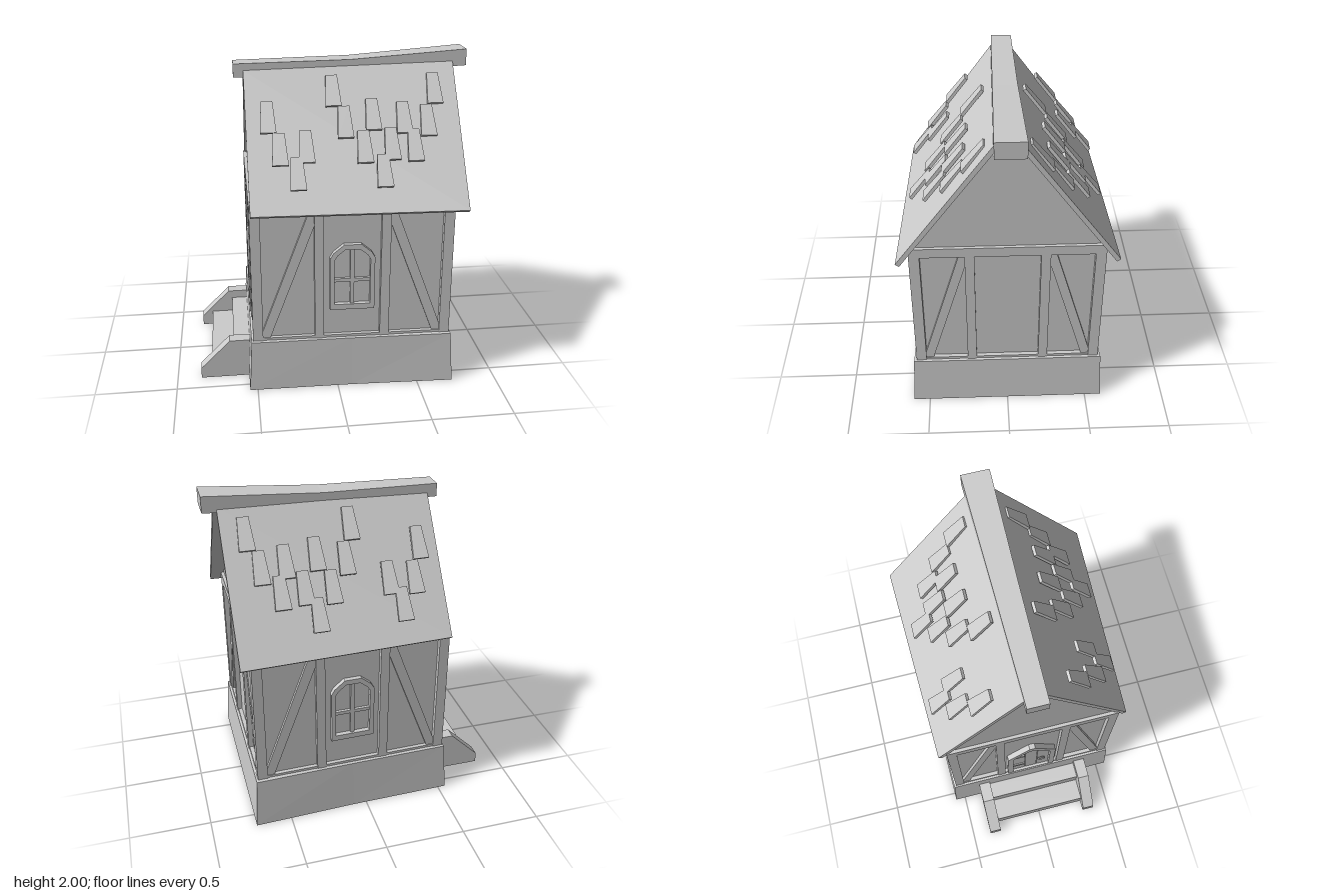
import * as THREE from 'three';

const mat = new THREE.MeshStandardMaterial({ color: 0xcccccc, flatShading: true });
const openMat = new THREE.MeshStandardMaterial({ color: 0xcccccc, flatShading: true, side: THREE.DoubleSide });
const CX = 0.088; // centre of the house along x

function add(parent, name, geo, x = 0, y = 0, z = 0, material = mat) {
  const m = new THREE.Mesh(geo, material);
  m.name = name;
  m.position.set(x, y, z);
  parent.add(m);
  return m;
}

// Box given by its ranges
function box(parent, name, x0, x1, y0, y1, z0, z1) {
  return add(parent, name, new THREE.BoxGeometry(x1 - x0, y1 - y0, z1 - z0),
    (x0 + x1) / 2, (y0 + y1) / 2, (z0 + z1) / 2);
}

const shapeOf = pts => new THREE.Shape(pts.map(p => new THREE.Vector2(...p)));
const extrude = (shape, depth) =>
  new THREE.ExtrudeGeometry(shape, { depth, bevelEnabled: false });

// Skin over cross-sections with equal corner counts
function loft(sections, capped = true) {
  const pos = [], n = sections[0].length;
  const tri = (...p) => p.forEach(v => pos.push(...v));
  for (let i = 0; i + 1 < sections.length; i++) {
    for (let j = 0; j < n; j++) {
      const k = (j + 1) % n, s = sections[i], t = sections[i + 1];
      tri(s[j], s[k], t[k]);
      tri(s[j], t[k], t[j]);
    }
  }
  if (capped) {
    const s = sections[0], t = sections[sections.length - 1];
    for (let j = 1; j + 1 < n; j++) {
      tri(s[0], s[j + 1], s[j]);
      tri(t[0], t[j], t[j + 1]);
    }
  }
  const g = new THREE.BufferGeometry();
  g.setAttribute('position', new THREE.Float32BufferAttribute(pos, 3));
  g.computeVertexNormals();
  return g;
}

// Opening outline with a chamfered top
function archPoints(w, y0, yShoulder, yTop, wTop) {
  const wm = w * 0.85, ym = yShoulder + (yTop - yShoulder) * 0.4;
  return [[-w, y0], [w, y0], [w, yShoulder], [wm, ym], [wTop, yTop],
    [-wTop, yTop], [-wm, ym], [-w, yShoulder]];
}

// Opening outline with a pointed top
const gablePoints = (w, y0, yShoulder, yTop) =>
  [[-w, y0], [w, y0], [w, yShoulder], [0.02, yTop], [-0.02, yTop], [-w, yShoulder]];

function openingFrame(outer, inner, depth) {
  const s = shapeOf(outer);
  s.holes.push(new THREE.Path(inner.map(p => new THREE.Vector2(...p))));
  return extrude(s, depth);
}

// One timber-framed wall facing local +z
function timberWall(name, half, dist, post, topY) {
  const g = new THREE.Group();
  g.name = name;
  const back = dist - 0.07;
  add(g, 'plaster', new THREE.PlaneGeometry(2 * half - 0.06, 0.9), 0, 0.77, dist - 0.03, openMat);
  box(g, 'sill', -half + 0.01, half - 0.01, 0.32, 0.345, back, dist - 0.005);
  box(g, 'topBeam', -half, half, 1.15, topY, back, dist);
  const o = half - 0.062, i = post + 0.028;
  for (const s of [-1, 1]) {
    const [a, b] = [s * o, s * half].sort((p, q) => p - q);
    box(g, 'cornerPost', a, b, 0.33, 1.15, dist - 0.062, dist);
    box(g, 'post', s * post - 0.028, s * post + 0.028, 0.33, 1.15, back, dist);
    const brace = [[o, 0.345], [o, 0.39], [i + 0.035, 1.15], [i, 1.15], [i, 1.07], [o - 0.045, 0.345]];
    add(g, 'brace', extrude(shapeOf(brace.map(([x, y]) => [s * x, y])), 0.05), 0, 0, dist - 0.06);
  }
  return g;
}

function addWindow(g, d) {
  const frame = openingFrame(archPoints(0.135, 0.52, 0.86, 0.947, 0.052),
    archPoints(0.108, 0.555, 0.85, 0.915, 0.045), 0.05);
  add(g, 'windowFrame', frame, 0, 0, d - 0.05);
  box(g, 'mullion', -0.012, 0.012, 0.55, 0.92, d - 0.04, d - 0.012);
  box(g, 'transom', -0.11, 0.11, 0.7, 0.722, d - 0.04, d - 0.012);
}

function addDoor(g, d) {
  const frame = openingFrame(gablePoints(0.17, 0.335, 0.7, 0.86),
    gablePoints(0.132, 0.345, 0.685, 0.805), 0.055);
  add(g, 'doorFrame', frame, 0, 0, d - 0.05);
  // Planks that step up towards the middle
  for (const [x, top] of [[-0.088, 0.71], [0, 0.79], [0.088, 0.71]]) {
    box(g, 'doorPlank', x - 0.042, x + 0.042, 0.34, top, d - 0.05, d - 0.012);
  }
  for (const y of [0.45, 0.66]) box(g, 'hinge', -0.13, -0.05, y, y + 0.03, d - 0.02, d - 0.004);
  add(g, 'doorHandle', new THREE.TorusGeometry(0.022, 0.006, 6, 12), 0.075, 0.53, d);
}

function addGable(g, d) {
  const pts = [[-0.565, 1.2], [0.565, 1.2], [0.07, 1.88], [-0.07, 1.88]];
  add(g, 'gable', new THREE.ShapeGeometry(shapeOf(pts)), 0, 0, d - 0.02, openMat);
}

// Places a wall in the house frame and narrows the house towards -x
function settleWall(g) {
  g.updateMatrixWorld(true);
  g.children.forEach(m => {
    m.geometry.applyMatrix4(m.matrixWorld);
    const p = m.geometry.attributes.position;
    for (let i = 0; i < p.count; i++) {
      p.setZ(i, p.getZ(i) * (1 - 0.05 * (CX + 0.61 - p.getX(i)) / 1.22));
    }
    m.geometry.computeVertexNormals();
    m.position.set(0, 0, 0);
  });
  g.position.set(0, 0, 0);
  g.rotation.set(0, 0, 0);
}

// Tiles: centre x, height of the lower edge, sink into the roof
const TILES = [
  [-0.385, 1.59], [0.01, 1.715], [-0.325, 1.43], [-0.17, 1.44], [-0.23, 1.31],
  [0.068, 1.555], [0.238, 1.59], [0.422, 1.57], [0.625, 1.715], [0.172, 1.43],
  [0.335, 1.44], [0.472, 1.43], [0.567, 1.555, 0.008], [0.275, 1.31],
];

function addTiles(root, s) {
  const g = new THREE.Group();
  g.name = s > 0 ? 'frontTiles' : 'backTiles';
  if (s < 0) g.rotation.y = Math.PI;
  const tilt = Math.atan(0.78);
  const geo = extrude(shapeOf([[-0.048, 0], [0.048, 0], [0.034, 0.2], [-0.034, 0.2]]), 0.02);
  for (const [x, y, sink = 0] of TILES) {
    const drop = 0.02 + sink;
    const t = add(g, 'roofTile', geo, s * x, y - drop * Math.sin(tilt),
      0.57 - (y - 1.31) * 0.78 - drop * Math.cos(tilt));
    t.rotation.x = -tilt;
  }
  root.add(g);
}

export function createModel() {
  const root = new THREE.Group();
  root.name = 'cottage';

  // Tapered plinth with slightly bent sides, open below
  const ring = (y, hx, zl, zm, zr) => [[CX - hx, y, zl], [CX, y, zm], [CX + hx, y, zr],
    [CX + hx, y, -zr], [CX, y, -zm], [CX - hx, y, -zl]];
  add(root, 'plinth', loft([
    ring(0, 0.636, 0.566, 0.577, 0.603),
    ring(0.325, 0.617, 0.553, 0.565, 0.585),
    ring(0.337, 0.57, 0.505, 0.517, 0.535),
  ], false), 0, 0, 0, openMat);

  // Walls
  const names = ['frontWall', 'leftWall', 'backWall', 'rightWall'];
  names.forEach((name, n) => {
    const end = n % 2 === 1;
    const half = end ? 0.568 : 0.607, d = end ? 0.607 : 0.568;
    const g = timberWall(name, half, d, end ? 0.22 : 0.2, end ? 1.213 : 1.19);
    if (end) addGable(g, d); else addWindow(g, d);
    if (n === 3) addDoor(g, d);
    g.position.x = CX;
    g.rotation.y = n * Math.PI / 2;
    settleWall(g);
    root.add(g);
  });

  // Roof slabs, wider and higher towards +x
  for (const s of [1, -1]) {
    const section = (x, eave, ridgeY, ridgeZ) => {
      const c = [[x, ridgeY, s * ridgeZ], [x, 1.165, s * eave],
        [x, 1.148, s * (eave - 0.022)], [x, ridgeY - 0.017, s * (ridgeZ - 0.022)]];
      return s > 0 ? c : c.reverse();
    };
    add(root, s > 0 ? 'frontRoof' : 'backRoof',
      loft([section(-0.512, 0.592, 1.897, 0.06), section(0.763, 0.637, 1.928, 0.08)]));
    addTiles(root, s);
  }

  // Bent ridge beam
  const beam = (x, y0, y1, z0, z1) => [[x, y1, z0], [x, y1, z1], [x, y0, z1], [x, y0, z0]];
  add(root, 'ridgeBeam', loft([
    beam(-0.572, 1.855, 1.937, -0.07, 0.057),
    beam(0.14, 1.865, 1.95, -0.078, 0.068),
    beam(0.848, 1.9, 2.0, -0.092, 0.08),
  ]));

  // Entrance steps, hollow below, between sloped cheeks
  const stairs = new THREE.Group();
  stairs.name = 'stairs';
  for (const [x0, x1, y0, y1] of [[-0.78, -0.635, 0, 0.1], [-0.64, -0.53, 0.085, 0.2]]) {
    box(stairs, 'riser', x0, x0 + 0.015, y0, y1 - 0.015, -0.31, 0.32);
    box(stairs, 'tread', x0, x1, y1 - 0.015, y1, -0.31, 0.32);
  }
  const cheek = extrude(shapeOf([[-0.85, 0], [-0.535, 0], [-0.535, 0.253], [-0.663, 0.253], [-0.85, 0.067]]), 0.076);
  for (const z of [-0.38, 0.313]) add(stairs, 'stairCheek', cheek, 0, 0, z);
  root.add(stairs);

  return root;
}
